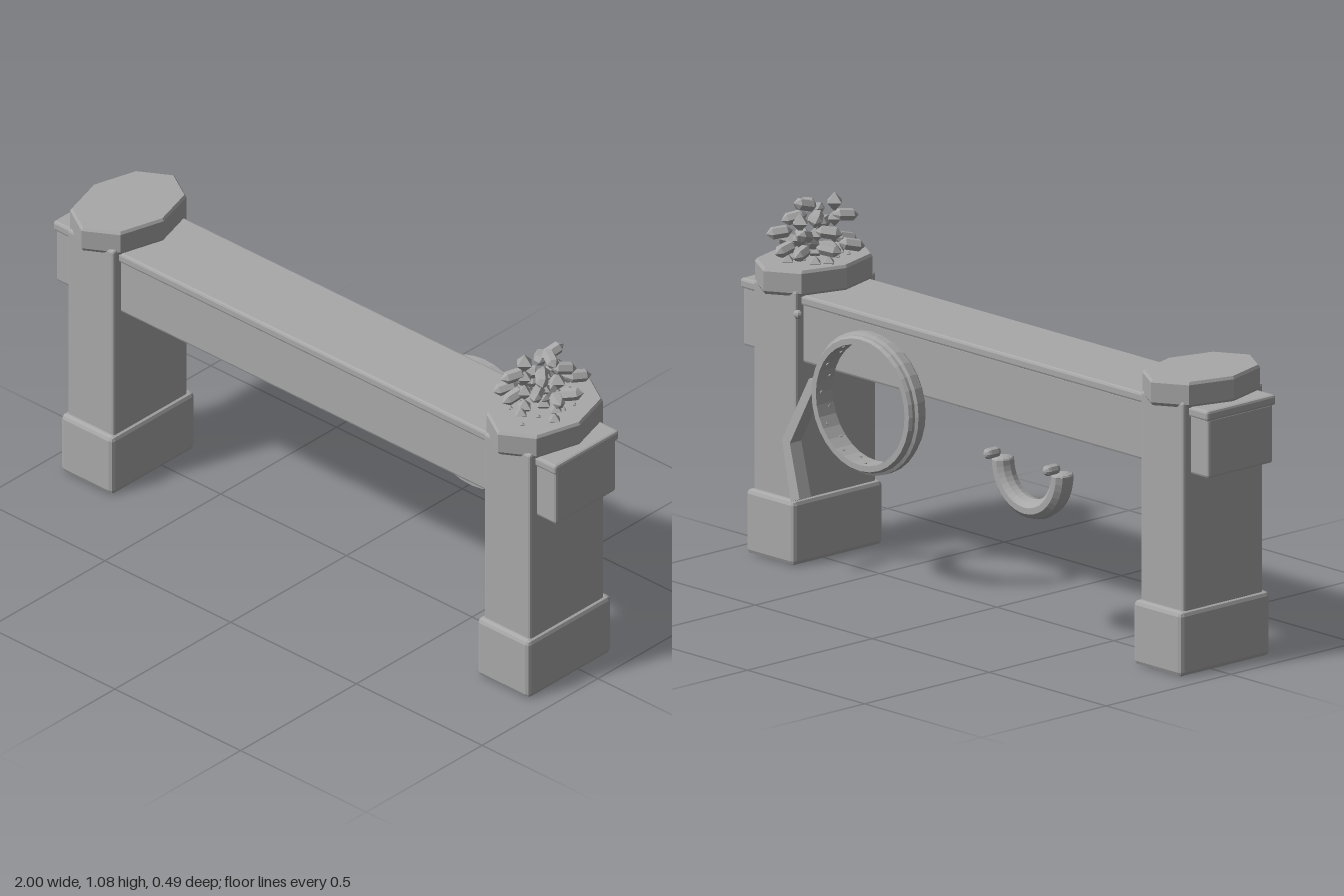
import * as THREE from 'three';
import { RoundedBoxGeometry } from 'three/addons/geometries/RoundedBoxGeometry.js';

export function createModel() {
  const model = new THREE.Group();
  model.name = 'stoneRail';
  const stone = new THREE.MeshStandardMaterial({ color: 0xa8a8a8, flatShading: true });
  stone.name = 'grey';

  const add = (name, geometry, x = 0, y = 0, z = 0, parent = model) => {
    const mesh = new THREE.Mesh(geometry, stone);
    mesh.name = name;
    mesh.position.set(x, y, z);
    parent.add(mesh);
    return mesh;
  };
  // Rounded box given by its lower and upper corner
  const block = (name, a, b, r = 0.012) => add(name,
    new RoundedBoxGeometry(b[0] - a[0], b[1] - a[1], b[2] - a[2], 1, r),
    (a[0] + b[0]) / 2, (a[1] + b[1]) / 2, (a[2] + b[2]) / 2);

  // Cross beam with an overhanging top plank
  block('beam', [-0.995, 0.608, -0.085], [0.995, 0.79, 0.175], 0.008);
  block('beamTop', [-1, 0.783, -0.093], [1, 0.815, 0.183], 0.008);

  // Two posts with plinths and eight-sided caps
  for (const s of [-1, 1]) {
    const x = s * 0.828;
    block('post', [x - 0.092, 0.15, -0.114], [x + 0.092, 0.83, 0.206], 0.008);
    block('plinth', [x - 0.103, 0, -0.135], [x + 0.103, 0.197, 0.225], 0.014);
    const profile = [[0, 0.812], [0.965, 0.812], [1, 0.822], [1, 0.882], [0.965, 0.891], [0, 0.891]]
      .map(([r, y]) => new THREE.Vector2(r, y));
    add('cap', new THREE.LatheGeometry(profile, 8), x, 0, 0.043).scale.set(0.141, 1, 0.202);
  }

  // Hoop: ridged band with a closed section turned about z
  const hoop = new THREE.Group();
  hoop.name = 'hoop';
  hoop.position.set(0.4, 0.565, -0.138);
  hoop.rotation.y = 0.04;
  model.add(hoop);
  const band = [[0.182, -0.036], [0.2, -0.036], [0.206, -0.026], [0.206, -0.016], [0.215, -0.011],
    [0.215, 0.011], [0.206, 0.016], [0.206, 0.026], [0.2, 0.034], [0.182, 0.034], [0.182, -0.036]]
    .map(([r, y]) => new THREE.Vector2(r, y));
  add('band', new THREE.LatheGeometry(band, 32).rotateX(Math.PI / 2), 0, 0, 0, hoop);
  for (let i = 0; i < 24; i++) {
    const a = i / 24 * Math.PI * 2;
    const stud = add('stud', new THREE.CylinderGeometry(0.005, 0.005, 0.006, 6),
      Math.cos(a) * 0.181, Math.sin(a) * 0.181, i % 2 ? 0.014 : -0.014, hoop);
    stud.rotation.z = a - Math.PI / 2;
  }

  // Bent strap hanging beside the hoop, leaning backwards towards its tip
  const outline = [[0.592, 0.59], [0.622, 0.6], [0.715, 0.4], [0.658, 0.225], [0.622, 0.24], [0.681, 0.395]]
    .map(([x, y]) => new THREE.Vector2(x, y));
  const strap = new THREE.ExtrudeGeometry(new THREE.Shape(outline), { depth: 0.046, bevelEnabled: false });
  const p = strap.attributes.position;
  for (let i = 0; i < p.count; i++) p.setZ(i, p.getZ(i) - 0.173 - (0.57 - p.getY(i)) * 0.105);
  strap.computeVertexNormals();
  add('strap', strap);
  add('nail', new THREE.SphereGeometry(0.014, 8, 6), 0.722, 0.765, -0.12);

  // U-shaped handle with a peg at each end
  const curve = new THREE.TorusGeometry(0.127, 0.03, 10, 20, Math.PI);
  add('handle', curve, -0.34, 0.53, -0.175).scale.set(1, -1, 1.25);
  // Mirror by rotation instead of negative scale
  const handle = model.getObjectByName('handle');
  handle.scale.set(1, 1, 1.25);
  handle.rotation.z = Math.PI;
  for (const s of [-1, 1]) {
    const x = -0.34 + s * 0.127;
    add('handleEnd', new THREE.SphereGeometry(0.03, 10, 6), x, 0.528, -0.175).scale.set(1, 0.4, 1.25);
    add('peg', new THREE.CapsuleGeometry(0.017, 0.026, 3, 8).rotateX(Math.PI / 2), x, 0.555, -0.219);
  }

  // Plant: two stalks of chunky leaves [x, y, z, turn, tilt]
  const plant = new THREE.Group();
  plant.name = 'plant';
  model.add(plant);
  const leaves = [
    [0.726, 0.935, 0.1, -0.5, 0.2], [0.78, 0.94, 0.125, -0.2, 0.25], [0.76, 0.975, 0.04, -0.9, 0.1],
    [0.78, 1.01, 0.125, -0.4, 0.1], [0.86, 0.975, 0.11, 0.5, 0.05], [0.89, 0.94, 0.056, 1, -0.15],
    [0.86, 1.02, 0.09, 0.8, 0.2], [0.755, 0.935, -0.075, 0.3, -0.15], [0.82, 0.935, -0.08, 0, -0.2],
    [0.876, 0.97, -0.05, -0.5, -0.1], [0.89, 0.935, 0.0, -1, 0.2], [0.79, 0.97, -0.03, 0.3, 0.3],
    [0.86, 1.01, -0.005, -0.5, -0.2], [0.82, 1.055, 0.0, -0.2, 0.25], [0.78, 1.02, 0.01, 0.7, -0.15],
    [0.83, 0.93, 0.03, 0.2, 0.3], [0.74, 0.93, 0.02, -1.2, 0.1], [0.84, 1.05, 0.03, 1.1, 0.2],
  ];
  const leafShape = new THREE.CapsuleGeometry(0.019, 0.045, 1, 6).rotateX(Math.PI / 2);
  for (const [x, y, z, turn, tilt] of leaves) {
    const leaf = add('leaf', leafShape, x, y, z, plant);
    leaf.rotation.set(tilt, turn, 0, 'YXZ');
  }
  // Pointed stalk joints
  for (const [x, z, top] of [[0.8, 0.1, 1.05], [0.83, 0.05, 1.015], [0.83, -0.01, 0.99]])
    for (let y = 0.9; y <= top + 0.01; y += 0.05)
      add('stalk', new THREE.OctahedronGeometry(y > top - 0.04 ? 0.03 : 0.026), x, y, z, plant);
  // Small pointed shoots and pebbles over the cap
  for (let i = 0; i < 14; i++) {
    const a = i * 2.4, r = 0.35 + 0.4 * ((i * 5) % 7) / 7;
    add('shoot', new THREE.OctahedronGeometry(i % 2 ? 0.008 : 0.022),
      0.828 + Math.cos(a) * r * 0.13, 0.893, 0.043 + Math.sin(a) * r * 0.19, plant);
  }
  return model;
}
